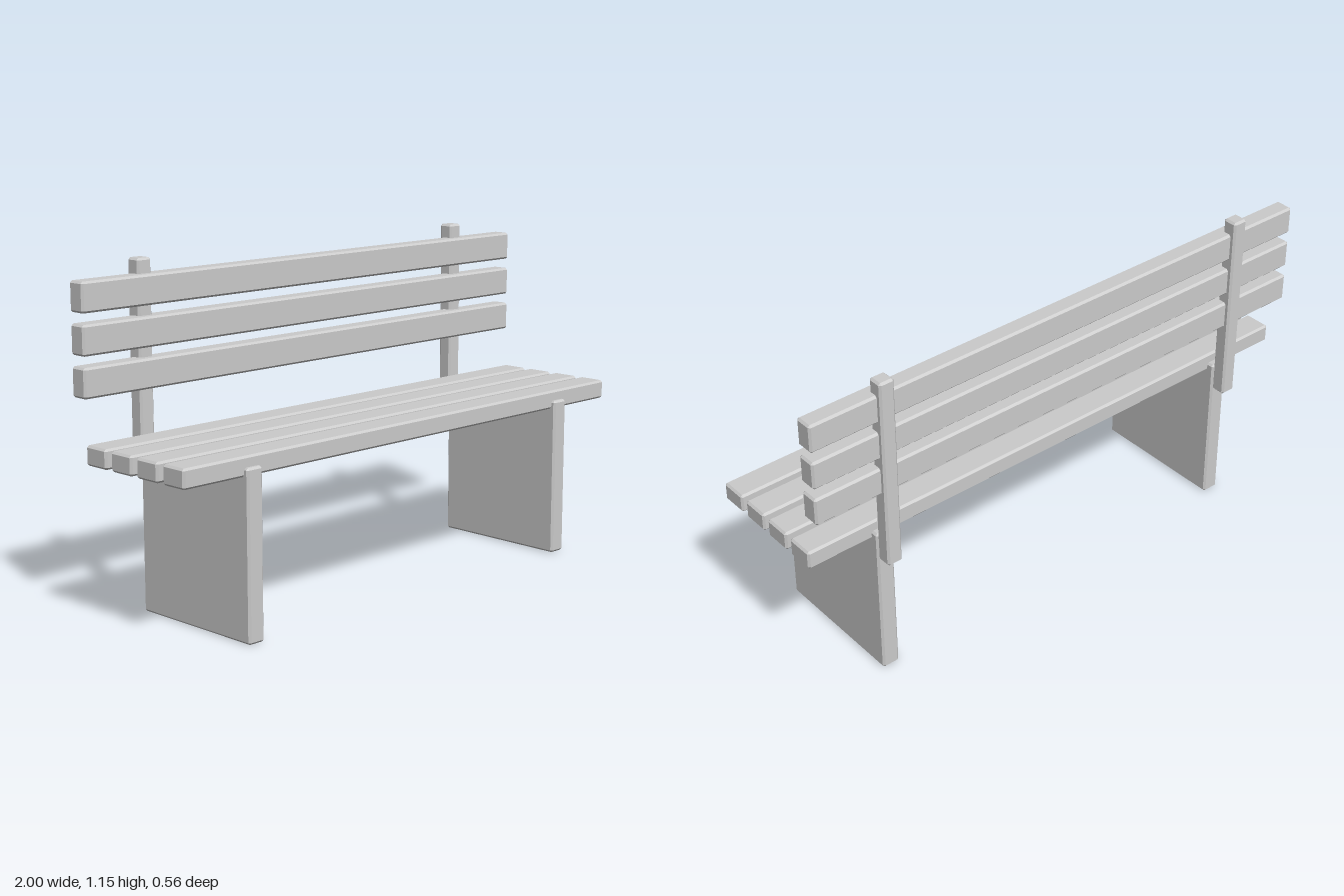
import * as THREE from 'three';
import { ConvexGeometry } from 'three/addons/geometries/ConvexGeometry.js';

const material = new THREE.MeshStandardMaterial({ color: 0xcccccc, flatShading: true });

// Box with every edge cut by a small chamfer
function chamferedBox(w, h, d, c = 0.007) {
  const points = [];
  for (const sx of [-1, 1]) for (const sy of [-1, 1]) for (const sz of [-1, 1]) {
    const x = w / 2, y = h / 2, z = d / 2;
    points.push(
      new THREE.Vector3(sx * x, sy * (y - c), sz * (z - c)),
      new THREE.Vector3(sx * (x - c), sy * y, sz * (z - c)),
      new THREE.Vector3(sx * (x - c), sy * (y - c), sz * z),
    );
  }
  return new ConvexGeometry(points);
}

export function createModel() {
  const bench = new THREE.Group();
  bench.name = 'bench';

  const add = (name, geometry, x, y, z) => {
    const mesh = new THREE.Mesh(geometry, material);
    mesh.name = name;
    mesh.position.set(x, y, z);
    bench.add(mesh);
  };

  // Seat: four planks laid front to back
  const seatPlank = chamferedBox(2, 0.065, 0.098);
  for (let i = 0; i < 4; i++) add(`seatPlank${i + 1}`, seatPlank, 0, 0.559, 0.214 - i * 0.1222);

  // Backrest: three upright planks
  const backPlank = chamferedBox(2, 0.098, 0.065);
  for (let i = 0; i < 3; i++) add(`backPlank${i + 1}`, backPlank, 0, 0.782 + i * 0.133, -0.23);

  // Panel legs and the posts that carry the backrest, one pair per side
  const leg = chamferedBox(0.063, 0.556, 0.508);
  const post = chamferedBox(0.055, 0.687, 0.054);
  for (const [side, s] of [['left', 1], ['right', -1]]) {
    add(`${side}Leg`, leg, s * 0.732, 0.278, 0.025);
    add(`${side}BackPost`, post, s * 0.732, 0.8025, -0.253);
  }

  return bench;
}
